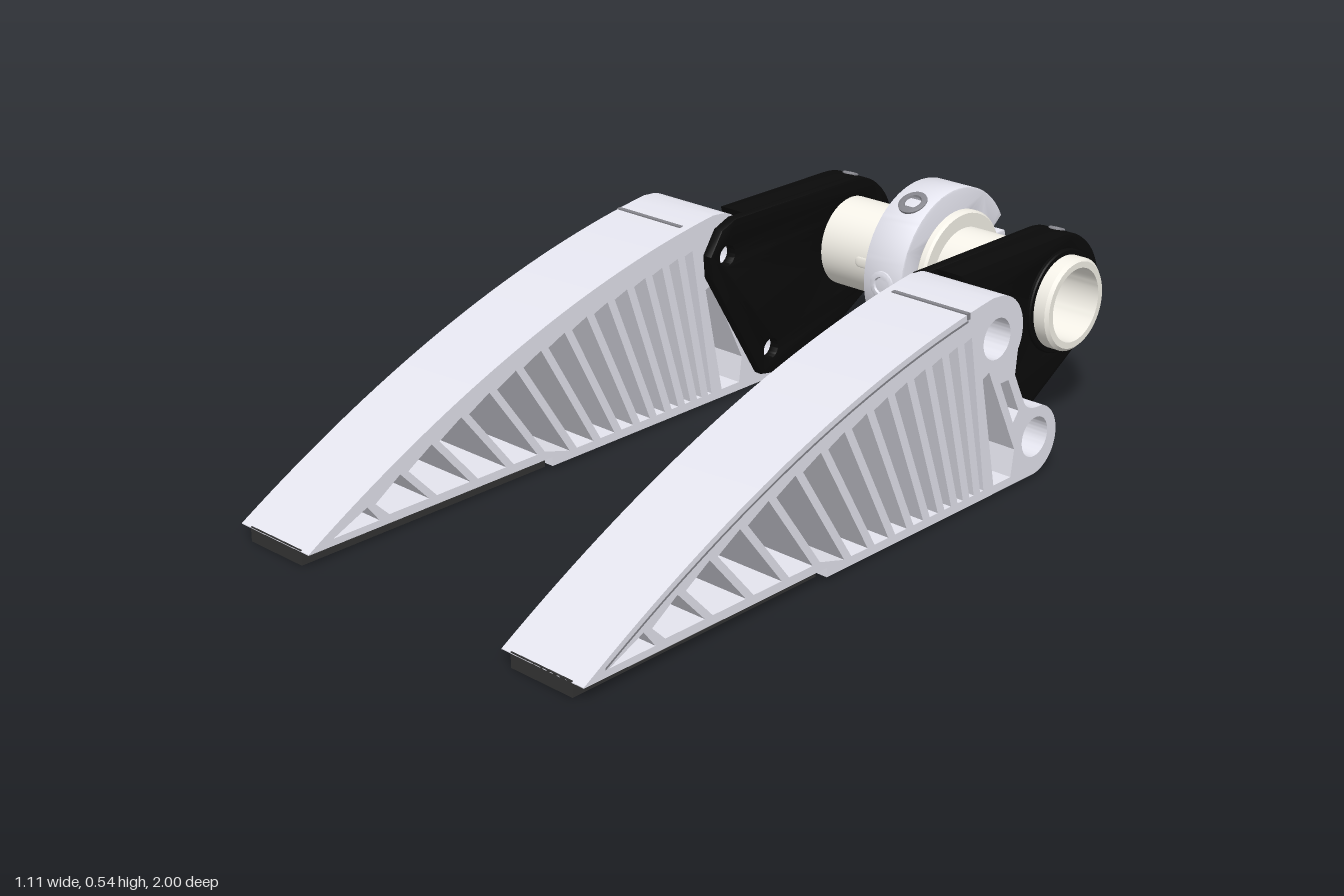
import * as THREE from 'three';
import { toCreasedNormals } from 'three/addons/utils/BufferGeometryUtils.js';

const mat = (color) => new THREE.MeshStandardMaterial({ color });
const METAL = mat(0xe4e4ee), IVORY = mat(0xf5f2e9), BLACK = mat(0x0a0a0a), RUBBER = mat(0x333333), SHADE = mat(0x85858c);
const AXIS = { y: 0.323, z: -0.785 };
const PIVOTS = [[-0.31, 0.4], [-0.474, 0.107]];

function add(parent, name, geometry, material) {
  const mesh = new THREE.Mesh(geometry, material);
  mesh.name = name;
  parent.add(mesh);
  return mesh;
}

const poly = (pts, S = THREE.Shape) => new S(pts.map(([z, y]) => new THREE.Vector2(z, y)));
const circle = (z, y, r) => new THREE.Path().absarc(z, y, r, 0, Math.PI * 2, true);

// Extrudes a (z, y) profile sideways, from x0 to x1; the outline is made
// counter-clockwise so that walls and holes all face outwards
function extrudeX(profile, x0, x1, bevel = 0) {
  const outline = profile.getPoints(32);
  if (THREE.ShapeUtils.isClockWise(outline)) outline.reverse();
  const shape = new THREE.Shape(outline);
  shape.holes = profile.holes;
  const geo = new THREE.ExtrudeGeometry(shape, {
    depth: x1 - x0 - 2 * bevel, curveSegments: 32, bevelEnabled: bevel > 0,
    bevelThickness: bevel, bevelSize: bevel, bevelOffset: -bevel, bevelSegments: 2,
  });
  geo.rotateY(-Math.PI / 2);
  geo.translate(x1 - bevel, 0, 0);
  return toCreasedNormals(geo, 0.55);
}

// Turns an (r, x) profile around the shaft axis
function turnX(pts) {
  const geo = new THREE.LatheGeometry(pts.map(([r, x]) => new THREE.Vector2(r, x)), 64);
  geo.rotateZ(-Math.PI / 2);
  geo.translate(0, AXIS.y, AXIS.z);
  return toCreasedNormals(geo, 0.5);
}

// Chamfered ring between two x positions
function ring(inner, outer, x0, x1, c) {
  return turnX([[inner, x0], [outer - c, x0], [outer, x0 + c], [outer, x1 - c],
    [outer - c, x1], [inner, x1], [inner, x0]]);
}

// Socket screw standing on a cylinder round the shaft, a = angle up from the front
function addScrew(parent, name, x, radius, a, r, material) {
  const pts = [[r, -0.02], [r, 0.004], [r * 0.88, 0.006], [r * 0.62, 0.006], [r * 0.55, 0.001], [0, 0.001]];
  const geo = new THREE.LatheGeometry(pts.map((p) => new THREE.Vector2(...p)), 32);
  const mesh = add(parent, name, toCreasedNormals(geo, 0.5), material);
  mesh.position.set(x, AXIS.y + radius * Math.sin(a), AXIS.z + radius * Math.cos(a));
  mesh.rotation.x = Math.PI / 2 - a;
}

// Arched upper edge of the finger
const archY = (z) => 0.035 + 0.593 * (1 - z) - 0.178 * (1 - z) ** 2;

function fingerShape() {
  const s = new THREE.Shape();
  s.moveTo(1, 0.033);
  s.lineTo(0.27, 0.033);
  s.lineTo(0.27, 0.01);
  s.lineTo(-0.47, 0.01);
  s.absarc(-0.47, 0.098, 0.088, -Math.PI / 2, -Math.PI * 1.4, true);
  s.quadraticCurveTo(-0.44, 0.18, -0.425, 0.21);
  s.lineTo(-0.385, 0.29);
  s.absarc(-0.31, 0.405, 0.097, -Math.PI * 0.82, -Math.PI * 1.5, true);
  for (let i = 0; i <= 32; i++) {
    const z = -0.29 + (1.29 * i) / 32;
    s.lineTo(z, archY(z));
  }
  for (const [z, y] of PIVOTS) s.holes.push(circle(z, y, 0.05));

  // Fan of slanted slots, with the ribs left standing between them
  const rib = (i) => {
    const zt = 0.82 - 0.1 * i + 0.0018 * i * i;
    const yt = archY(zt) - 0.04 - 0.02 * (1 - zt);
    const yb = zt > 0.4 ? 0.055 : 0.032;
    return { zt, yt, yb, zb: zt - (yt - yb) * (0.35 + 0.8 * zt) };
  };
  const w = 0.012;
  const first = rib(0);
  s.holes.push(poly([[0.93, 0.05], [first.zt + w, first.yt], [first.zb + w * 1.4, 0.05]], THREE.Path));
  for (let i = 0; i < 14; i++) {
    const a = rib(i), b = rib(i + 1);
    s.holes.push(poly([[a.zt - w, a.yt], [a.zb - w, a.yb], [b.zb + w, b.yb], [b.zt + w, b.yt]], THREE.Path));
  }
  // Slots in the rear wall between the two pivots
  s.holes.push(poly([[-0.285, 0.325], [-0.395, 0.1], [-0.385, 0.032], [-0.32, 0.032], [-0.262, 0.315]], THREE.Path));
  s.holes.push(poly([[-0.33, 0.285], [-0.36, 0.285], [-0.405, 0.195], [-0.385, 0.17]], THREE.Path));
  return s;
}

// Thin line following the arch just beneath the finger's skin
function skinSeamShape() {
  const upper = [], lower = [];
  for (let i = 0; i <= 20; i++) {
    const z = 0.94 - (1.14 * i) / 20;
    upper.push([z, archY(z) - 0.015]);
    lower.unshift([z, archY(z) - 0.02]);
  }
  return poly([...upper, ...lower]);
}

// Rear part shared by both bracket layers: top edge, round hub and slanted underside
function bracketShape(frontEdge) {
  const s = new THREE.Shape();
  s.moveTo(...frontEdge[frontEdge.length - 1]);
  s.lineTo(AXIS.z, AXIS.y + 0.168);
  s.absarc(AXIS.z, AXIS.y, 0.168, Math.PI / 2, Math.PI * 1.34, false);
  for (const p of frontEdge) s.lineTo(...p);
  s.holes.push(circle(AXIS.z, AXIS.y, 0.118));
  return s;
}

function buildFinger(side) {
  const g = new THREE.Group();
  g.name = side > 0 ? 'leftFinger' : 'rightFinger';
  const span = (a, b) => (side > 0 ? [a, b] : [-b, -a]);

  add(g, 'ribbedFinger', extrudeX(fingerShape(), ...span(0.313, 0.553)), METAL);
  add(g, 'skinSeam', extrudeX(skinSeamShape(), ...span(0.335, 0.5538)), SHADE);
  const pad = add(g, 'gripPad', new THREE.BoxGeometry(0.18, 0.037, 0.73), RUBBER);
  pad.position.set(side * 0.43, 0.0185, 0.635);
  const seam = add(g, 'topSeam', new THREE.BoxGeometry(0.218, 0.016, 0.012), SHADE);
  seam.position.set(side * 0.4445, archY(-0.2) - 0.006, -0.2);

  // Thin plate lying against the finger's inner face
  const plate = bracketShape([[-0.59, 0.018], [-0.55, 0.025], [-0.44, 0.045], [-0.255, 0.35],
    [-0.25, 0.41], [-0.29, 0.47], [-0.34, 0.49]]);
  for (const [z, y] of PIVOTS) plate.holes.push(circle(z, y, 0.026));
  add(g, 'bracketPlate', extrudeX(plate, ...span(0.282, 0.312), 0.005), BLACK);

  // Thick body stopping short of the finger's rear contour
  const body = bracketShape([[-0.6, 0.018], [-0.575, 0.03], [-0.575, 0.13], [-0.525, 0.2], [-0.44, 0.215],
    [-0.4, 0.31], [-0.412, 0.41], [-0.388, 0.49]]);
  add(g, 'bracketBody', extrudeX(body, ...span(0.305, 0.385), 0.01), BLACK);
  add(g, 'hubFlange', ring(0.116, 0.132, ...span(0.38, 0.395), 0.003), BLACK);
  for (const a of [1.87, 3.44]) addScrew(g, 'hubScrew', side * 0.332, 0.166, a, 0.021, SHADE);
  return g;
}

// Collar that is smooth over the top and front and toothed below and behind
function gearShape() {
  const s = new THREE.Shape();
  const at = (r, deg) => {
    const a = THREE.MathUtils.degToRad(deg);
    return [AXIS.z + r * Math.cos(a), AXIS.y + r * Math.sin(a)];
  };
  const R = 0.215, root = 0.166, teeth = 9, start = 152, pitch = (346 - start) / teeth;
  s.moveTo(...at(R, -14));
  for (let d = -10; d <= start; d += 3) s.lineTo(...at(R, d));
  for (let i = 0; i < teeth; i++) {
    const d = start + i * pitch;
    s.lineTo(...at(root, d + pitch * 0.14));
    s.lineTo(...at(root, d + pitch * 0.38));
    s.lineTo(...at(R - 0.015, d + pitch * 0.51));
    s.lineTo(...at(R, d + pitch * 0.6));
    if (i < teeth - 1) s.lineTo(...at(R, d + pitch * 0.96));
  }
  s.holes.push(circle(AXIS.z, AXIS.y, 0.117));
  return s;
}

export function createModel() {
  const model = new THREE.Group();
  model.name = 'gripper';

  for (const side of [1, -1]) model.add(buildFinger(side));

  // Hollow shaft
  add(model, 'shaft', ring(0.094, 0.118, -0.435, 0.435, 0.008), IVORY);
  const key = add(model, 'shaftSlot', new THREE.CapsuleGeometry(0.014, 0.058, 6, 16), IVORY);
  key.scale.z = 0.2;
  key.rotation.z = Math.PI / 2;
  key.position.set(-0.128, AXIS.y, AXIS.z + 0.117);

  // Geared collar with its two screws and side flange
  const collar = new THREE.Group();
  collar.name = 'gearCollar';
  model.add(collar);
  add(collar, 'gear', extrudeX(gearShape(), -0.06, 0.06, 0.003), METAL);
  add(collar, 'sideFlange', ring(0.116, 0.16, 0.058, 0.085, 0.006), IVORY);
  addScrew(collar, 'frontScrew', 0, 0.2135, 0, 0.037, METAL);
  addScrew(collar, 'upperScrew', 0, 0.2135, 1.08, 0.038, SHADE);
  return model;
}
